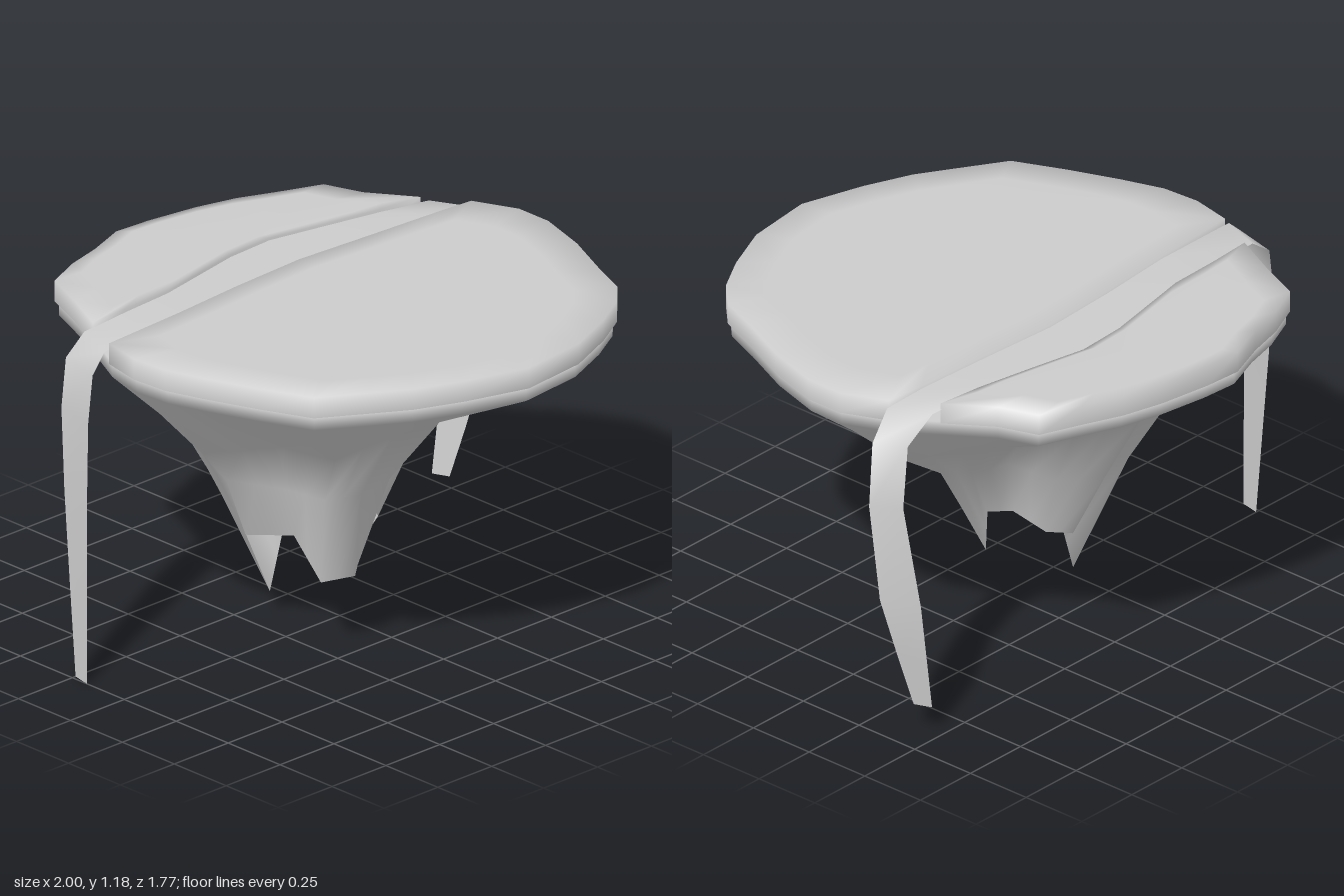
import * as THREE from 'three';

const material = () => new THREE.MeshStandardMaterial({ color: 0xcccccc, side: THREE.DoubleSide });

// Smooth surface through rings of [x, y, z], listed bottom to top, with an optional centre cap
function loft(name, rings, { closed = true, cap = null } = {}) {
  const n = rings[0].length, index = [];
  const points = rings.flat();
  const steps = closed ? n : n - 1;
  for (let i = 0; i < rings.length - 1; i++) {
    for (let j = 0; j < steps; j++) {
      const k = (j + 1) % n, a = i * n + j, b = i * n + k;
      index.push(a, a + n, b, b, a + n, b + n);
    }
  }
  if (cap) {
    const top = (rings.length - 1) * n;
    for (let j = 0; j < n; j++) index.push(top + j, points.length, top + (j + 1) % n);
    points.push(cap);
  }
  const geometry = new THREE.BufferGeometry();
  geometry.setAttribute('position', new THREE.Float32BufferAttribute(points.flat(), 3));
  geometry.setIndex(index);
  geometry.computeVertexNormals();
  const mesh = new THREE.Mesh(geometry, material());
  mesh.name = name;
  return mesh;
}

// Island outline [x, z], from the back left round by +x to the front and home by -x
const outline = [
  [-0.61, -0.74], [-0.47, -0.80], [-0.33, -0.835], [-0.18, -0.89],
  [-0.04, -0.88], [0.15, -0.85], [0.30, -0.81], [0.44, -0.75],
  [0.59, -0.69], [0.64, -0.55], [0.75, -0.39], [0.85, -0.25],
  [0.92, -0.09], [0.92, 0.05], [0.86, 0.25], [0.77, 0.45],
  [0.71, 0.60], [0.62, 0.69], [0.48, 0.77], [0.29, 0.85],
  [0.03, 0.88], [-0.20, 0.81], [-0.37, 0.74], [-0.50, 0.66],
  [-0.66, 0.56], [-0.74, 0.38], [-0.81, 0.20], [-0.86, 0.05],
  [-0.87, -0.09], [-0.84, -0.24], [-0.76, -0.40], [-0.68, -0.57],
];

// Banks of the river, each running so that its lobe closes
const backBank = [[0.58, -0.41], [0.37, -0.45], [0.15, -0.495], [-0.04, -0.485], [-0.22, -0.45], [-0.4, -0.415], [-0.6, -0.41]];
const frontBank = [[-0.5, -0.26], [-0.2, -0.285], [0.1, -0.30], [0.4, -0.28], [0.7, -0.262]];

// Rock folds under every second outline point: shoulder, waist and ragged hem
const folds = [
  [[-0.36, 0.80, -0.46], [-0.30, 0.50, -0.29], [-0.17, 0.09, -0.16]],
  [[-0.20, 0.84, -0.50], [-0.14, 0.55, -0.30], [-0.09, 0.32, -0.17]],
  [[-0.02, 0.87, -0.59], [0.00, 0.62, -0.46], [0.02, 0.36, -0.33]],
  [[0.20, 0.87, -0.50], [0.14, 0.62, -0.36], [0.10, 0.38, -0.28]],
  [[0.32, 0.84, -0.36], [0.20, 0.65, -0.20], [0.12, 0.42, -0.15]],
  [[0.45, 0.80, -0.22], [0.29, 0.62, -0.12], [0.18, 0.42, -0.09]],
  [[0.55, 0.75, -0.03], [0.33, 0.60, -0.02], [0.11, 0.22, -0.02]],
  [[0.50, 0.76, 0.12], [0.31, 0.68, 0.10], [0.13, 0.34, 0.05]],
  [[0.40, 0.80, 0.30], [0.20, 0.72, 0.14], [0.08, 0.40, 0.07]],
  [[0.22, 0.82, 0.36], [0.08, 0.62, 0.14], [0.04, 0.42, 0.07]],
  [[0.00, 0.86, 0.46], [-0.04, 0.60, 0.28], [-0.09, 0.31, 0.19]],
  [[-0.20, 0.86, 0.46], [-0.20, 0.60, 0.31], [-0.16, 0.27, 0.24]],
  [[-0.35, 0.78, 0.34], [-0.32, 0.60, 0.26], [-0.28, 0.27, 0.20]],
  [[-0.38, 0.77, 0.12], [-0.35, 0.60, 0.10], [-0.28, 0.40, 0.07]],
  [[-0.58, 0.75, -0.06], [-0.47, 0.62, -0.06], [-0.36, 0.38, -0.08]],
  [[-0.50, 0.78, -0.26], [-0.42, 0.60, -0.20], [-0.31, 0.38, -0.15]],
];

// River edges, front edge then back edge, from the foot of the -x fall to the +x fall
const riverPath = [
  [[-1.0, 0.0, -0.18], [-0.985, 0.0, -0.25]],
  [[-0.99, 0.35, -0.19], [-0.975, 0.35, -0.29]],
  [[-0.98, 0.65, -0.2], [-0.96, 0.65, -0.33]],
  [[-0.965, 0.93, -0.21], [-0.935, 0.93, -0.37]],
  [[-0.93, 1.09, -0.225], [-0.89, 1.09, -0.395]],
  [[-0.86, 1.15, -0.24], [-0.8, 1.155, -0.4]],
  [[-0.5, 1.167, -0.255], [-0.4, 1.167, -0.42]],
  [[-0.2, 1.167, -0.28], [-0.04, 1.167, -0.492]],
  [[0.1, 1.167, -0.295], [0.15, 1.167, -0.5]],
  [[0.4, 1.167, -0.275], [0.37, 1.167, -0.455]],
  [[0.7, 1.165, -0.258], [0.58, 1.165, -0.415]],
  [[0.86, 1.15, -0.25], [0.79, 1.15, -0.39]],
  [[0.95, 1.06, -0.265], [0.89, 1.06, -0.37]],
  [[1.0, 0.85, -0.295], [0.935, 0.85, -0.39]],
  [[0.985, 0.5, -0.33], [0.935, 0.5, -0.47]],
  [[0.94, 0.28, -0.37], [0.905, 0.28, -0.47]],
  [[0.905, 0.1, -0.41], [0.88, 0.1, -0.47]],
];

// Grassy lobe: upright rim, then a softly shaded flat top
function lobe(name, loop, cx, cz) {
  const ring = (s, y) => loop.map(([x, z]) => [cx + (x - cx) * s, y, cz + (z - cz) * s]);
  return loft(name, [ring(1, 1.10), ring(1, 1.175), ring(0.82, 1.18)], { cap: [cx, 1.18, cz] });
}

// Hanging rock, folds blended between neighbours to match the outline
function rock() {
  const level = (l) => outline.map((_, i) => {
    const a = folds[i >> 1][l], b = folds[((i + 1) >> 1) % folds.length][l];
    return a.map((v, c) => (v + b[c]) / 2);
  });
  const rim = (y) => outline.map(([x, z]) => [x * 0.985, y, z * 0.985]);
  return loft('rockUnderside', [level(2), level(1), level(0), rim(1.05), rim(1.10)], { cap: [0, 1.10, 0] });
}

export function createModel() {
  const island = new THREE.Group();
  island.name = 'floatingIsland';
  island.add(rock());
  island.add(lobe('frontGround', [...outline.slice(11, 30), ...frontBank], 0, 0.2));
  island.add(lobe('backGround', [...outline.slice(30), ...outline.slice(0, 11), ...backBank], 0, -0.64));
  island.add(loft('riverAndWaterfalls', [0, 1].map((e) => riverPath.map((p) => p[e])), { closed: false }));
  // River strip faces up: reverse its corners if the first normal on top points down
  const river = island.getObjectByName('riverAndWaterfalls').geometry;
  if (river.attributes.normal.getY(8) < 0) {
    river.index.array.reverse();
    river.computeVertexNormals();
  }
  return island;
}
